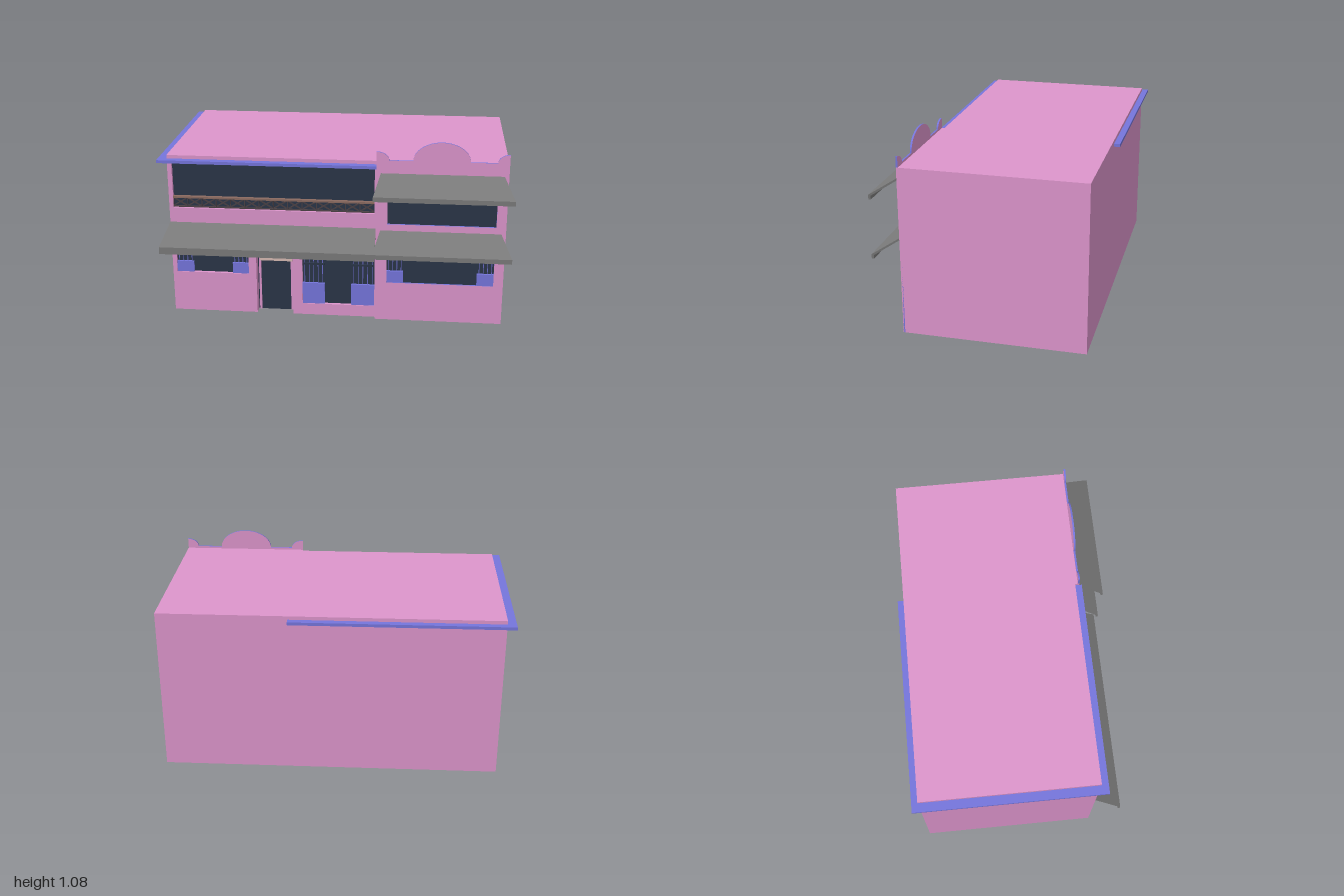
import * as THREE from 'three';

const mat = (color) => new THREE.MeshStandardMaterial({ color, side: THREE.DoubleSide });
const PINK = mat(0xdd95cc), BLUE = mat(0x7575dc), NAVY = mat(0x2a3548), GREY = mat(0x7a7a7a);
const CREAM = mat(0xd8bbb4), BROWN = mat(0x8a6a60), DARK = mat(0x4a4044);

const BACK = -0.57, LEFT_FRONT = 0.43, RIGHT_FRONT = 0.455, SPLIT = 0.24, ROOF = 0.96;

export function createModel() {
  const root = new THREE.Group();
  root.name = 'shopBuilding';

  const add = (name, geometry, material, parent = root) => {
    const mesh = new THREE.Mesh(geometry, material);
    mesh.name = name;
    parent.add(mesh);
    return mesh;
  };
  // Box given by its limits on each axis
  const box = (name, m, x0, x1, y0, y1, z0, z1, parent) => {
    const g = new THREE.BoxGeometry(x1 - x0, y1 - y0, z1 - z0);
    g.translate((x0 + x1) / 2, (y0 + y1) / 2, (z0 + z1) / 2);
    return add(name, g, m, parent);
  };
  const rectHole = (x0, x1, y0, y1) =>
    new THREE.Path().moveTo(x0, y0).lineTo(x0, y1).lineTo(x1, y1).lineTo(x1, y0).closePath();
  const plate = (name, shape, depth, front, m) => {
    const g = new THREE.ExtrudeGeometry(shape, { depth, bevelEnabled: false, curveSegments: 16 });
    g.translate(0, 0, front - depth);
    return add(name, g, m);
  };

  // Thin shell: back, sides, partition and roof, open underneath
  const wallX = (name, x, z1) => {
    const g = new THREE.PlaneGeometry(z1 - BACK, ROOF).rotateY(Math.PI / 2);
    add(name, g.translate(x, ROOF / 2, (z1 + BACK) / 2), PINK);
  };
  wallX('leftmostWall', -0.95, LEFT_FRONT);
  wallX('partitionWall', SPLIT, RIGHT_FRONT);
  wallX('sideWall', 0.97, RIGHT_FRONT);
  add('backWall', new THREE.PlaneGeometry(1.92, ROOF).rotateY(Math.PI).translate(0.01, ROOF / 2, BACK), PINK);
  const roof = (name, x0, x1, z1) => {
    const g = new THREE.PlaneGeometry(x1 - x0, z1 - BACK).rotateX(-Math.PI / 2);
    add(name, g.translate((x0 + x1) / 2, ROOF, (z1 + BACK) / 2), PINK);
  };
  roof('wideRoof', -0.95, SPLIT, LEFT_FRONT);
  roof('narrowRoof', SPLIT, 0.97, RIGHT_FRONT - 0.005);

  // Wide facade with a notch for the doorway
  const wide = new THREE.Shape();
  [[-0.95, 0], [-0.455, 0], [-0.455, 0.43], [-0.24, 0.43], [-0.24, 0], [SPLIT, 0], [SPLIT, ROOF], [-0.95, ROOF]]
    .forEach(([x, y], i) => (i ? wide.lineTo(x, y) : wide.moveTo(x, y)));
  wide.closePath();
  wide.holes.push(rectHole(-0.925, 0.23, 0.645, 0.92), rectHole(-0.925, -0.5, 0.245, 0.43),
    rectHole(-0.185, 0.235, 0.07, 0.43));
  plate('wideFacade', wide, 0.02, LEFT_FRONT, PINK);

  // Narrow facade with the curved parapet
  const narrow = new THREE.Shape();
  narrow.moveTo(SPLIT, 0).lineTo(0.97, 0).lineTo(0.97, 1.02);
  narrow.absellipse(0.97, 0.972, 0.065, 0.048, Math.PI / 2, Math.PI, false);
  narrow.lineTo(0.755, 0.972);
  narrow.absellipse(0.6, 0.972, 0.157, 0.108, 0, Math.PI, false);
  narrow.lineTo(0.31, 0.972);
  narrow.absellipse(SPLIT, 0.972, 0.07, 0.048, 0, Math.PI / 2, false);
  narrow.closePath();
  narrow.holes.push(rectHole(0.305, 0.915, 0.235, 0.46), rectHole(0.305, 0.915, 0.595, 0.8));
  plate('narrowFacade', narrow, 0.01, RIGHT_FRONT, [PINK, BLUE]);

  // Dark glazing set behind the openings
  const pane = (name, x0, x1, y0, y1, front) => box(name, NAVY, x0, x1, y0, y1, front - 0.03, front - 0.018);
  pane('balconyGlazing', -0.93, 0.235, 0.64, 0.925, LEFT_FRONT);
  pane('smallShopGlazing', -0.93, -0.495, 0.24, 0.435, LEFT_FRONT);
  pane('tallShopGlazing', -0.19, 0.238, 0.065, 0.435, LEFT_FRONT);
  pane('narrowShopGlazing', 0.3, 0.92, 0.23, 0.465, RIGHT_FRONT);
  pane('upperGlazing', 0.3, 0.92, 0.59, 0.805, RIGHT_FRONT);

  // Half-height panel with slim turned bars above it
  const screen = (x0, x1, y0, y1, top, front) => {
    const g = new THREE.Group();
    g.name = 'windowScreen';
    root.add(g);
    box('panel', BLUE, x0, x1, y0, y1, front - 0.018, front - 0.004, g);
    box('crossRail', NAVY, x0, x1, (y1 + top) / 2, (y1 + top) / 2 + 0.012, front - 0.016, front - 0.006, g);
    const n = Math.round((x1 - x0) / 0.025);
    for (let i = 0; i < n; i++) {
      const x = x0 + ((i + 0.5) * (x1 - x0)) / n;
      add('bar', new THREE.CylinderGeometry(0.0022, 0.0022, top - y1, 6)
        .translate(x, (top + y1) / 2, front - 0.013), BLUE, g);
    }
  };
  screen(-0.925, -0.825, 0.245, 0.31, 0.43, LEFT_FRONT);
  screen(-0.595, -0.5, 0.245, 0.31, 0.43, LEFT_FRONT);
  screen(-0.185, -0.055, 0.07, 0.2, 0.43, LEFT_FRONT);
  screen(0.1, 0.235, 0.07, 0.2, 0.43, LEFT_FRONT);
  screen(0.305, 0.4, 0.235, 0.305, 0.46, RIGHT_FRONT);
  screen(0.82, 0.915, 0.235, 0.305, 0.46, RIGHT_FRONT);

  // Recessed doorway with an arched fanlight
  const DOOR_Z = LEFT_FRONT - 0.06;
  box('doorBacking', NAVY, -0.455, -0.24, 0, 0.43, DOOR_Z - 0.01, DOOR_Z);
  box('door', NAVY, -0.435, -0.26, 0, 0.315, DOOR_Z, DOOR_Z + 0.006);
  for (const [a, b, c, d] of [[-0.46, -0.455, -0.448, -0.435], [-0.24, -0.235, -0.26, -0.245]]) {
    box('doorReveal', PINK, a, b, 0, 0.43, DOOR_Z - 0.01, LEFT_FRONT - 0.002);
    box('doorFrame', PINK, c, d, 0, 0.35, DOOR_Z, DOOR_Z + 0.012);
  }
  box('doorCeiling', PINK, -0.455, -0.24, 0.43, 0.435, DOOR_Z - 0.01, LEFT_FRONT - 0.002);
  const arch = new THREE.Shape();
  arch.moveTo(-0.44, 0.315).lineTo(-0.25, 0.315).lineTo(-0.25, 0.35);
  arch.absellipse(-0.345, 0.35, 0.095, 0.05, 0, Math.PI, false);
  arch.closePath();
  plate('fanlight', arch, 0.016, DOOR_Z + 0.016, CREAM);

  // Balcony railing: rails and crossed braces
  const railing = new THREE.Group();
  railing.name = 'balconyRailing';
  root.add(railing);
  box('topRail', BROWN, -0.925, 0.23, 0.706, 0.716, 0.412, 0.436, railing);
  box('bottomRail', DARK, -0.925, 0.23, 0.65, 0.656, 0.418, 0.43, railing);
  const BAYS = 14, bay = 1.155 / BAYS;
  for (let i = 0; i < BAYS; i++) {
    for (const s of [-1, 1]) {
      const brace = box('brace', DARK, -bay / 2, bay / 2, -0.003, 0.003, -0.004, 0.004, railing);
      brace.position.set(-0.925 + (i + 0.5) * bay, 0.681, 0.424);
      brace.rotation.z = s * Math.atan2(0.05, bay);
    }
    box('railPost', DARK, -0.927 + i * bay, -0.922 + i * bay, 0.65, 0.71, 0.42, 0.428, railing);
  }

  // Gutter wrapping the wide block on three sides
  box('frontGutter', BLUE, -1, SPLIT, 0.923, 0.94, LEFT_FRONT, 0.47);
  box('sideGutter', BLUE, -1, -0.95, 0.923, 0.94, BACK, LEFT_FRONT);
  box('backGutter', BLUE, -1, SPLIT, 0.923, 0.94, -0.605, BACK);

  // Sloped awning with a hanging edge, flaring from its wall line [a0, a1] to [b0, b1]
  const awning = (name, a0, a1, b0, b1, yTop, yEdge, yLow, z0, z1) => {
    const t = 0.012;
    const s = new THREE.Shape();
    s.moveTo(z0, yTop).lineTo(z0, yTop - t).lineTo(z1 - t, yEdge - t * 0.5).lineTo(z1 - t, yLow);
    s.lineTo(z1, yLow).lineTo(z1, yEdge).closePath();
    const g = new THREE.ExtrudeGeometry(s, { depth: 1, bevelEnabled: false });
    const p = g.attributes.position;
    for (let i = 0; i < p.count; i++) {
      const z = p.getX(i), k = (z - z0) / (z1 - z0);
      const x = THREE.MathUtils.lerp(a1 + (b1 - a1) * k, a0 + (b0 - a0) * k, p.getZ(i));
      p.setXYZ(i, x, p.getY(i), z);
    }
    g.computeVertexNormals();
    add(name, g, GREY);
  };
  awning('wideAwning', -0.95, SPLIT, -0.985, SPLIT, 0.557, 0.457, 0.415, LEFT_FRONT, 0.58);
  awning('narrowAwning', 0.265, 0.945, 0.23, 1, 0.557, 0.467, 0.44, RIGHT_FRONT, 0.605);
  awning('upperAwning', 0.265, 0.945, 0.23, 1, 0.897, 0.807, 0.78, RIGHT_FRONT, 0.605);

  return root;
}
